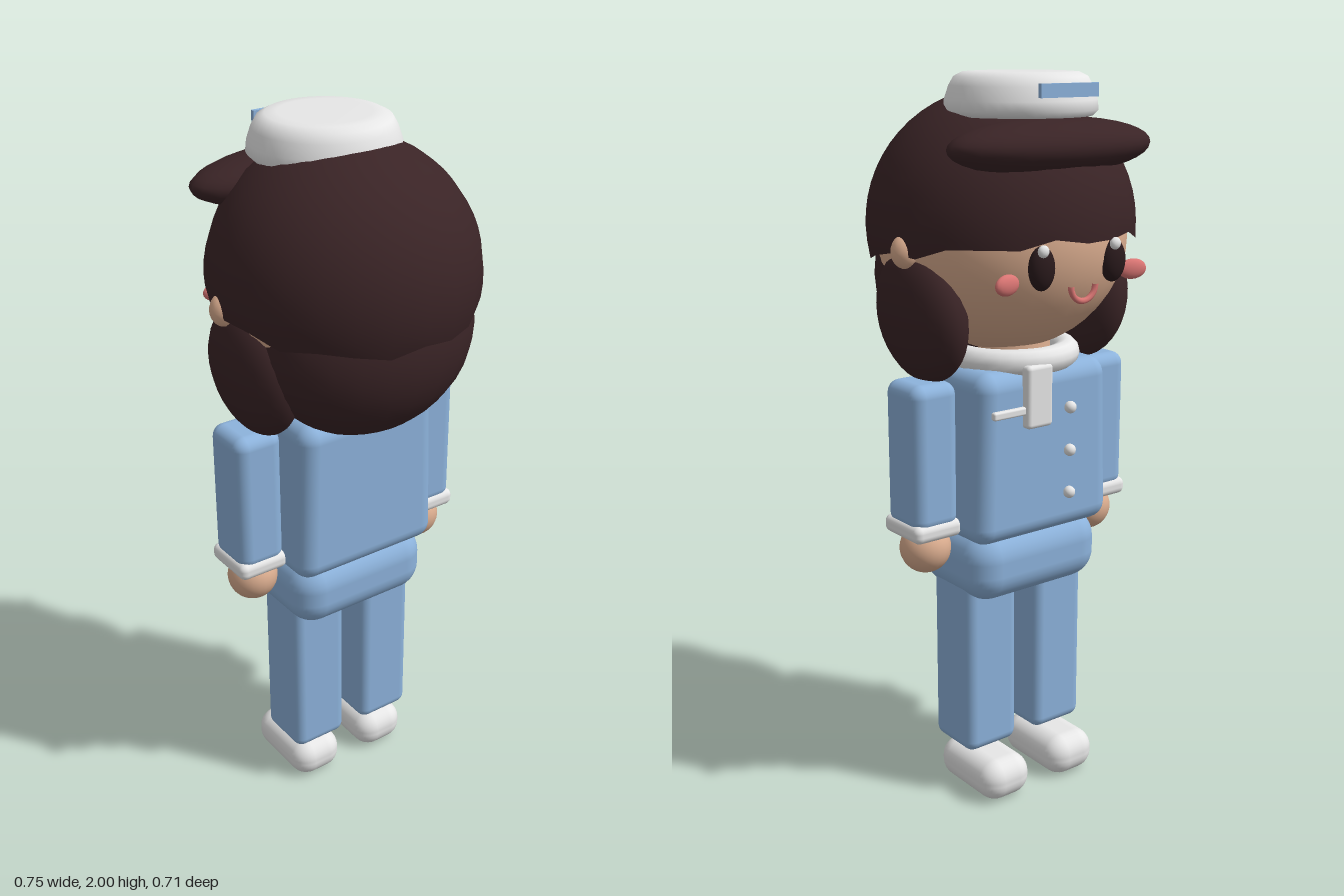
import * as THREE from 'three';
import { RoundedBoxGeometry } from 'three/addons/geometries/RoundedBoxGeometry.js';

export function createModel() {
  const root = new THREE.Group();
  root.name = 'sailorGirl';

  const material = (name, color, side = THREE.FrontSide) => {
    const m = new THREE.MeshStandardMaterial({ color, side });
    m.name = name;
    return m;
  };
  const blue = material('uniformBlue', 0x8db3dc);
  const hair = material('hairBrown', 0x3a2426, THREE.DoubleSide);
  const skin = material('skin', 0xdcae90);
  const white = material('white', 0xe8e8e8);
  const coral = material('coral', 0xdb7674);
  const dark = material('eyeDark', 0x2a1a1c);

  const add = (name, geometry, mat, x, y, z) => {
    const mesh = new THREE.Mesh(geometry, mat);
    mesh.name = name;
    mesh.position.set(x, y, z);
    root.add(mesh);
    return mesh;
  };
  const ellipsoid = (rx, ry, rz, w = 24, h = 18) =>
    new THREE.SphereGeometry(1, w, h).scale(rx, ry, rz);
  const block = (w, h, d, r) => new RoundedBoxGeometry(w, h, d, 4, r);

  // Torso, slightly wider towards the hem
  const torso = block(0.46, 0.47, 0.34, 0.05);
  const p = torso.attributes.position;
  for (let i = 0; i < p.count; i++) p.setX(i, p.getX(i) * (0.965 - 0.15 * p.getY(i)));
  add('jacket', torso, blue, 0, 1.015, -0.035);
  add('hips', block(0.44, 0.2, 0.31, 0.08), blue, 0, 0.7, -0.035);

  // Neck, collar, scarf, pocket trim and buttons on the -z side
  add('neck', new THREE.CylinderGeometry(0.11, 0.12, 0.14, 24), skin, 0, 1.27, -0.03);
  add('collar', new THREE.TorusGeometry(0.155, 0.036, 12, 32).rotateX(Math.PI / 2),
    white, 0, 1.265, -0.035);
  add('scarfTail', block(0.085, 0.17, 0.035, 0.012), white, 0.045, 1.18, -0.212);
  add('pocketTrim', block(0.12, 0.022, 0.018, 0.006), white, 0.13, 1.145, -0.21);
  for (const y of [1.13, 1.01, 0.89])
    add('button', ellipsoid(0.017, 0.017, 0.017, 12, 8), white, -0.07, y, -0.212);

  // Limbs, mirrored
  for (const s of [1, -1]) {
    add('arm', block(0.14, 0.4, 0.155, 0.035), blue, s * 0.292, 1.025, -0.035);
    add('cuff', block(0.15, 0.05, 0.165, 0.02), white, s * 0.293, 0.825, -0.035);
    add('hand', ellipsoid(0.07, 0.07, 0.07), skin, s * 0.287, 0.76, -0.035);
    add('leg', block(0.172, 0.53, 0.175, 0.03), blue, s * 0.118, 0.4, -0.032);
    add('shoe', block(0.16, 0.12, 0.265, 0.055), white, s * 0.118, 0.06, -0.075);
  }

  // Head and face
  add('head', ellipsoid(0.335, 0.31, 0.335, 32, 24), skin, 0, 1.58, 0);
  for (const s of [1, -1]) {
    add('ear', ellipsoid(0.04, 0.045, 0.035, 16, 12), skin, s * 0.335, 1.565, -0.04);
    add('eye', ellipsoid(0.038, 0.056, 0.026, 20, 14), dark, s * 0.117, 1.535, -0.314);
    add('eyeGlint', ellipsoid(0.016, 0.016, 0.012, 12, 8), white, s * 0.117 + 0.018, 1.582, -0.343);
    add('cheek', ellipsoid(0.042, 0.027, 0.015, 16, 12), coral, s * 0.207, 1.5, -0.292)
      .rotation.y = s * 0.2;
  }
  add('mouth', new THREE.TorusGeometry(0.04, 0.008, 8, 20, Math.PI).rotateZ(Math.PI),
    coral, 0, 1.485, -0.336);

  // Hair cap: open sphere tipped back, with an uneven hairline
  const cap = new THREE.SphereGeometry(1, 24, 16, 0, Math.PI * 2, 0, 1.74);
  const c = cap.attributes.position;
  for (let i = c.count - 25; i < c.count; i++) {
    const k = (i - c.count + 25) % 24;
    c.setY(i, c.getY(i) + 0.03 * Math.sin(k * 2.3));
  }
  cap.scale(0.362, 0.352, 0.356);
  add('hairCap', cap, hair, 0, 1.61, 0.003).rotation.x = 0.13;
  add('backHair', ellipsoid(0.31, 0.27, 0.225), hair, 0, 1.47, 0.103);
  add('bangs', ellipsoid(0.315, 0.072, 0.13), hair, 0, 1.82, -0.21);
  for (const s of [1, -1])
    add('sideLock', ellipsoid(0.09, 0.18, 0.165), hair, s * 0.272, 1.39, -0.015)
      .rotation.z = -s * 0.12;

  // Sailor hat with a blue band plate
  const profile = [[0, 1.89], [0.185, 1.89], [0.2, 1.905], [0.197, 1.93], [0.185, 1.965],
    [0.172, 1.987], [0.15, 1.998], [0.12, 2], [0, 2]].map(([r, y]) => new THREE.Vector2(r, y));
  add('hat', new THREE.LatheGeometry(profile, 40), white, 0, 0, -0.08);
  add('hatBand', new THREE.BoxGeometry(0.184, 0.034, 0.012), blue, 0, 1.957, -0.271);

  return root;
}
